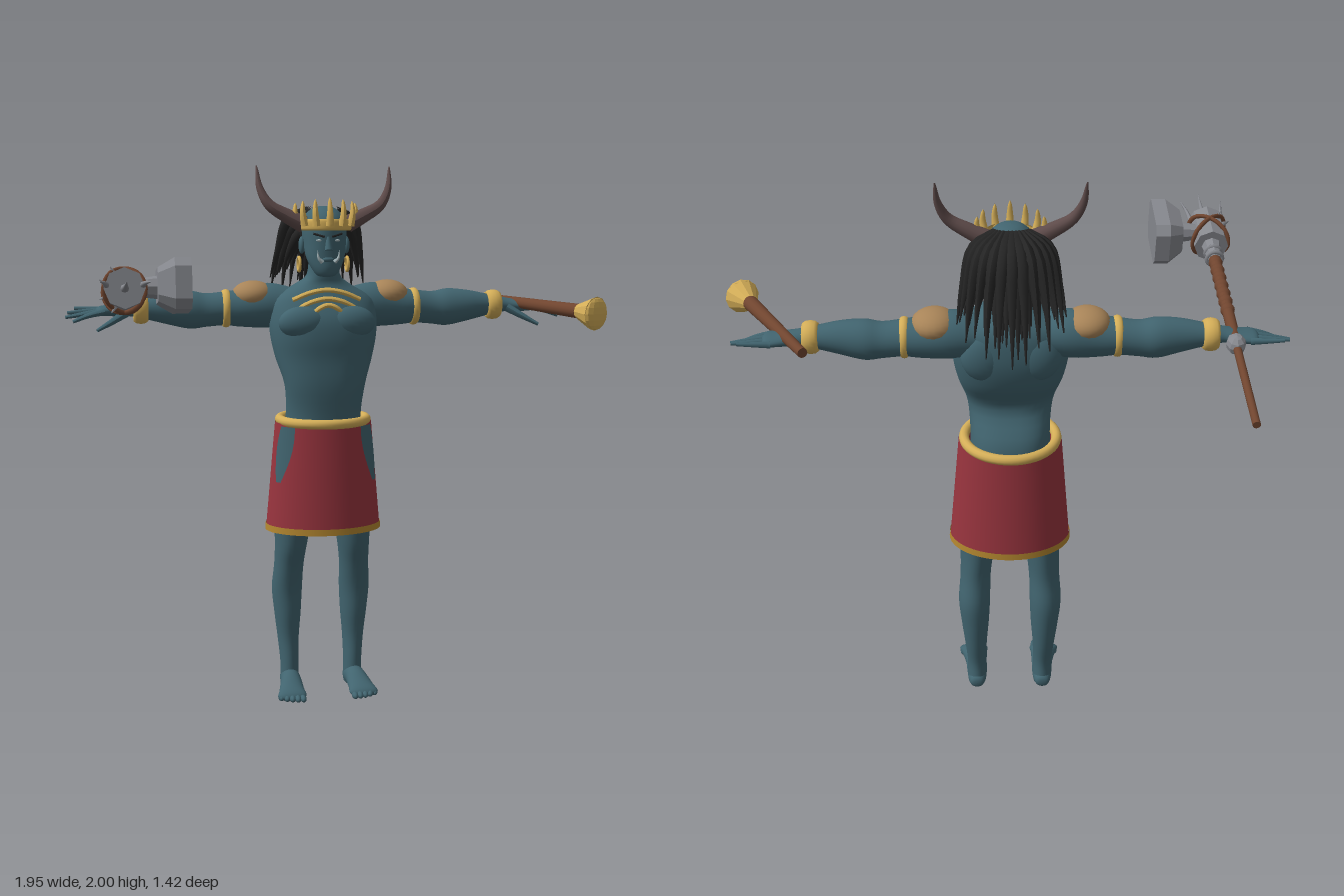
import * as THREE from 'three';
import { ParametricGeometry } from 'three/addons/geometries/ParametricGeometry.js';

const V = (x, y, z) => new THREE.Vector3(x, y, z);
const colours = {
  skin: 0x41646f, cloth: 0x98343e, gold: 0xd4ae58, darkGold: 0xb3862f, leather: 0xa88458,
  horn: 0x5e4b4a, hair: 0x242424, wood: 0x70452f, metal: 0x86888e, paint: 0x9fb0b4,
};

// Smooth loft of ellipses along an axis; rows are [t, centre1, centre2, radius1, radius2]
function loft(axis, rows, pow = 1, seg = 28, steps = 4) {
  const order = { x: [2, 0, 1], y: [0, 1, 2], z: [1, 2, 0] }[axis];
  const n = (rows.length - 1) * steps, pos = [], idx = [];
  const cr = (a, b, c, d, t) => 0.5 * (2 * b + (c - a) * t + (2 * a - 5 * b + 4 * c - d) * t * t + (3 * b - a - 3 * c + d) * t ** 3);
  const bend = (v) => Math.sign(v) * Math.abs(v) ** pow;
  for (let i = 0; i <= n; i++) {
    const k = Math.min(Math.floor(i / steps), rows.length - 2), f = i / steps - k;
    const at = (j) => rows[Math.max(0, Math.min(rows.length - 1, j))];
    const r = rows[0].map((_, c) => cr(at(k - 1)[c], at(k)[c], at(k + 1)[c], at(k + 2)[c], f));
    for (let j = 0; j < seg; j++) {
      const a = (j / seg) * Math.PI * 2, p = [0, 0, 0];
      p[order[0]] = r[1] + Math.max(r[3], 0) * bend(Math.cos(a));
      p[order[1]] = r[0];
      p[order[2]] = r[2] + Math.max(r[4], 0) * bend(Math.sin(a));
      pos.push(...p);
      if (i < n) {
        const q = i * seg + j, s = i * seg + ((j + 1) % seg);
        idx.push(q, q + seg, s, s, q + seg, s + seg);
      }
    }
  }
  const g = new THREE.BufferGeometry();
  g.setAttribute('position', new THREE.Float32BufferAttribute(pos, 3));
  g.setIndex(idx);
  g.computeVertexNormals();
  return g;
}

// Curved tube whose radius follows rule(u)
function taper(points, rule, steps = 10, seg = 8) {
  const curve = new THREE.CatmullRomCurve3(points);
  const g = new THREE.TubeGeometry(curve, steps, 1, seg);
  const p = g.attributes.position, v = V();
  for (let i = 0; i < p.count; i++) {
    const u = Math.floor(i / (seg + 1)) / steps, c = curve.getPointAt(u);
    v.fromBufferAttribute(p, i).sub(c).multiplyScalar(rule(u)).add(c);
    p.setXYZ(i, v.x, v.y, v.z);
  }
  g.computeVertexNormals();
  return g;
}

// Round rod from point a to point b
function rod(a, b, ra, rb, seg = 14) {
  const d = b.clone().sub(a), g = new THREE.CylinderGeometry(rb, ra, d.length(), seg);
  g.applyQuaternion(new THREE.Quaternion().setFromUnitVectors(V(0, 1, 0), d.normalize()));
  const m = a.clone().add(b).multiplyScalar(0.5);
  return g.translate(m.x, m.y, m.z);
}

const ball = (x, y, z, rx, ry, rz, w = 20, h = 14) => new THREE.SphereGeometry(1, w, h).scale(rx, ry, rz).translate(x, y, z);
const flat = (g) => { const f = g.index ? g.toNonIndexed() : g; f.computeVertexNormals(); return f; };

export function createModel() {
  const mats = {};
  for (const [name, color] of Object.entries(colours)) {
    mats[name] = new THREE.MeshStandardMaterial({ color });
    mats[name].name = name;
  }
  mats.cloth.side = mats.darkGold.side = mats.skin.side = mats.gold.side = THREE.DoubleSide;

  const model = new THREE.Group(), body = new THREE.Group();
  model.name = 'hornedWarrior';
  body.name = 'body';
  body.position.x = -0.04;
  model.add(body);
  const add = (name, geo, mat, parent = body) => {
    const m = new THREE.Mesh(geo, mats[mat]);
    m.name = name;
    parent.add(m);
  };
  const both = (name, geo, mat) => {
    const g = geo.clone().scale(-1, 1, 1), ix = g.index.array;
    for (let i = 0; i < ix.length; i += 3) [ix[i], ix[i + 1]] = [ix[i + 1], ix[i]];
    add(name + 'Left', geo, mat);
    add(name + 'Right', g, mat);
  };

  // Torso and neck
  add('torso', loft('y', [[0.95, 0, -0.175, 0.15, 0.125], [1.08, 0, -0.168, 0.14, 0.125], [1.2, 0, -0.13, 0.15, 0.1],
    [1.3, 0, -0.155, 0.18, 0.125], [1.38, 0, -0.165, 0.197, 0.14], [1.45, 0, -0.172, 0.2, 0.138], [1.52, 0, -0.185, 0.185, 0.115],
    [1.57, 0, -0.18, 0.105, 0.085], [1.61, 0, -0.158, 0.06, 0.065], [1.7, 0, -0.15, 0.055, 0.06]], 0.85, 36), 'skin');
  both('pectoral', ball(0.085, 1.435, -0.075, 0.095, 0.062, 0.05), 'skin');
  both('shoulderBlade', ball(0.09, 1.43, -0.265, 0.08, 0.09, 0.045), 'skin');

  // Head and face
  add('head', loft('y', [[1.6, 0, -0.095, 0, 0], [1.605, 0, -0.095, 0.032, 0.035], [1.63, 0, -0.1, 0.052, 0.052], [1.67, 0, -0.115, 0.07, 0.068],
    [1.72, 0, -0.13, 0.078, 0.085], [1.78, 0, -0.14, 0.082, 0.095], [1.82, 0, -0.147, 0.072, 0.085],
    [1.85, 0, -0.15, 0.038, 0.046], [1.857, 0, -0.15, 0, 0]]), 'skin');
  add('nose', rod(V(0, 1.745, -0.05), V(0, 1.698, -0.04), 0.007, 0.015), 'skin');
  add('lips', ball(0, 1.664, -0.05, 0.022, 0.009, 0.009), 'skin');
  both('ear', ball(0.083, 1.715, -0.14, 0.012, 0.032, 0.02), 'skin');
  both('eye', ball(0.031, 1.733, -0.054, 0.013, 0.005, 0.005), 'paint');
  both('eyebrow', rod(V(0.013, 1.746, -0.047), V(0.052, 1.757, -0.062), 0.005, 0.004, 8), 'hair');
  both('tusk', taper([V(0.022, 1.655, -0.048), V(0.036, 1.67, -0.045), V(0.04, 1.7, -0.046)], (u) => 0.008 * (1.05 - u)), 'paint');
  both('earring', new THREE.TorusGeometry(0.025, 0.006, 8, 20).rotateY(Math.PI / 2).translate(0.09, 1.645, -0.16), 'gold');

  // Crown with spikes, and horns
  add('crownBand', loft('y', [[1.768, 0, -0.13, 0.093, 0.107], [1.775, 0, -0.13, 0.1, 0.113], [1.8, 0, -0.13, 0.101, 0.114], [1.81, 0, -0.13, 0.096, 0.11]]), 'gold');
  for (let i = -3; i <= 3; i++) {
    const a = i * 0.47, x = 0.103 * Math.sin(a), z = -0.13 + 0.115 * Math.cos(a);
    add('crownSpike', taper([V(x, 1.785, z), V(x * 1.1, 1.83, z + 0.004), V(x * 1.08, 1.885 - 0.006 * Math.abs(i), z - 0.003)],
      (u) => 0.001 + 0.014 * Math.sqrt(1 - u)), 'gold');
  }
  both('horn', taper([V(0.08, 1.79, -0.115), V(0.14, 1.82, -0.115), V(0.205, 1.86, -0.115), V(0.237, 1.92, -0.13), V(0.246, 2, -0.155)],
    (u) => 0.002 + 0.03 * (1 - u) ** 0.8, 18, 12), 'horn');

  // Dreadlocks in three fanned layers
  add('hairCap', ball(0, 1.77, -0.19, 0.085, 0.08, 0.075), 'hair');
  for (let layer = 0; layer < 3; layer++) {
    for (let i = -6; i <= 6; i++) {
      const a = (i + (layer % 2) * 0.5) * 0.245, s = Math.sin(a), c = Math.cos(a), k = 1 - layer * 0.14;
      const tipY = 1.48 + 0.1 * Math.abs(s) + layer * 0.035 + 0.025 * Math.sin(i * 2.7 + layer);
      add('dreadlock', taper([V(0.05 * s, 1.835 - layer * 0.025, -0.18 - 0.02 * c), V(0.12 * s * k, 1.805 - 0.03 * layer, -0.21 - 0.12 * c * k),
        V(0.16 * s * k, 1.68, -0.25 - 0.145 * c * k), V(0.18 * s * k, tipY, -0.285 - 0.17 * c * k)],
      (u) => 0.002 + 0.019 * Math.min(1, 1.5 * (1 - u)), 12, 7), 'hair');
    }
  }

  // Chest bands
  [[1.553, 0.125, -0.08], [1.522, 0.108, -0.065], [1.5, 0.06, -0.048]].forEach(([y, w, z]) =>
    add('chestBand', taper([V(-w, y - 0.036, z - 0.01), V(-w / 2, y - 0.01, z), V(0, y, z), V(w / 2, y - 0.01, z), V(w, y - 0.036, z - 0.01)], () => 0.009, 20), 'gold'));

  // Arms, hands and arm ornaments
  both('arm', loft('x', [[0.1, -0.21, 1.49, 0.075, 0.065], [0.2, -0.217, 1.492, 0.083, 0.083], [0.3, -0.22, 1.483, 0.074, 0.07],
    [0.36, -0.222, 1.482, 0.066, 0.063], [0.43, -0.225, 1.476, 0.062, 0.062], [0.49, -0.225, 1.478, 0.066, 0.07],
    [0.57, -0.22, 1.483, 0.056, 0.058], [0.65, -0.22, 1.485, 0.042, 0.04], [0.71, -0.22, 1.485, 0.034, 0.028],
    [0.77, -0.22, 1.48, 0.045, 0.022], [0.82, -0.22, 1.478, 0.047, 0.017], [0.835, -0.22, 1.478, 0, 0]]), 'skin');
  [[-0.262, 0.91], [-0.235, 0.935], [-0.205, 0.942], [-0.178, 0.915]].forEach(([z, x], i) =>
    both('finger', taper([V(0.8, 1.478, z), V(0.86, 1.482 - 0.006 * i, z * 1.12 + 0.025), V(x, 1.485 - 0.014 * i, z * 1.2 + 0.042)],
      (u) => 0.006 + 0.007 * (1 - u)), 'skin'));
  both('thumb', taper([V(0.72, 1.475, -0.19), V(0.77, 1.445, -0.165), V(0.83, 1.412, -0.142)], (u) => 0.006 + 0.011 * (1 - u)), 'skin');
  both('shoulderPad', ball(0.255, 1.53, -0.218, 0.08, 0.054, 0.083), 'leather');
  const ring = (x, y, r, t, w) => new THREE.TorusGeometry(r, t, 10, 28).rotateY(Math.PI / 2).scale(w, 1, 1).translate(x, y, -0.221);
  both('armlet', ring(0.357, 1.482, 0.06, 0.011, 1.4), 'gold');
  both('bracelet', ring(0.67, 1.485, 0.043, 0.014, 2), 'gold');

  // Legs and feet
  both('leg', loft('y', [[0, 0.125, -0.235, 0, 0], [0.01, 0.125, -0.235, 0.033, 0.046], [0.1, 0.125, -0.23, 0.035, 0.045], [0.2, 0.128, -0.24, 0.041, 0.05],
    [0.3, 0.13, -0.24, 0.051, 0.061], [0.4, 0.132, -0.237, 0.058, 0.068], [0.5, 0.127, -0.215, 0.056, 0.075],
    [0.6, 0.12, -0.195, 0.062, 0.095], [0.75, 0.11, -0.18, 0.078, 0.11], [0.95, 0.08, -0.17, 0.085, 0.11]]), 'skin');
  both('foot', loft('z', [[-0.288, 0.03, 0.125, 0, 0], [-0.28, 0.03, 0.125, 0.024, 0.026], [-0.23, 0.037, 0.125, 0.036, 0.037], [-0.17, 0.041, 0.128, 0.041, 0.04],
    [-0.1, 0.028, 0.135, 0.027, 0.048], [-0.055, 0.018, 0.139, 0.017, 0.052], [-0.04, 0.015, 0.139, 0, 0]]), 'skin');
  for (let i = 0; i < 5; i++) both('toe', ball(0.1 + i * 0.02, 0.014, -0.04 - i * i * 0.0018, 0.012, 0.013, 0.025, 10, 8), 'skin');

  // Skirt, hem, bare hip openings and belt
  const onSkirt = (y, a, grow, out) => {
    const t = (y - 0.65) / 0.41;
    out.set((0.218 - 0.036 * t + grow) * Math.cos(a), y, -0.177 + 0.009 * t + (0.163 - 0.028 * t + grow) * Math.sin(a));
  };
  const wrap = (y0, y1, grow) => new ParametricGeometry((u, v, out) => onSkirt(y0 + (y1 - y0) * v, -u * Math.PI * 2, grow, out), 48, 6);
  add('skirt', wrap(0.65, 1.06, 0), 'cloth');
  add('skirtHem', wrap(0.648, 0.672, 0.003), 'darkGold');
  both('hipOpening', new ParametricGeometry((u, v, out) => {
    const half = 0.02 + 0.22 * Math.sin(Math.PI * Math.min(1, 0.08 + v * 0.62));
    onSkirt(0.84 + 0.21 * v, 0.48 + 0.17 * v + half * (1 - 2 * u), 0.004, out);
  }, 8, 12), 'skin');
  add('belt', new THREE.TorusGeometry(0.163, 0.018, 12, 48).rotateX(Math.PI / 2).translate(0, 1.066, -0.175), 'gold');

  // Hammer held in the right hand, built along local z
  const hammer = new THREE.Group();
  hammer.name = 'hammer';
  hammer.position.set(-0.787, 1.584, 0.41);
  hammer.rotation.x = -0.15;
  model.add(hammer);
  const part = (name, geo, mat) => add(name, geo, mat, hammer);
  const along = (z0, z1, r0, r1, seg) => rod(V(0, 0, z0), V(0, 0, z1), r0, r1, seg);
  part('shaftTail', along(-1.13, -0.69, 0.013, 0.014), 'wood');
  part('shaftGrip', along(-0.69, -0.15, 0.019, 0.022), 'wood');
  part('pommelKnot', flat(ball(0, 0, -0.7, 0.034, 0.034, 0.042, 8, 6)), 'metal');
  for (let i = 0; i < 7; i++) part('gripWrap', ball(0, 0, -0.5 + i * 0.05, 0.025, 0.025, 0.03, 10, 8), 'wood');
  part('collar', flat(along(-0.18, -0.08, 0.024, 0.036, 8)), 'metal');
  [-0.17, -0.13].forEach((z) => part('collarRing', new THREE.TorusGeometry(0.028, 0.008, 6, 16).translate(0, 0, z), 'metal'));
  part('hammerCore', flat(along(-0.085, 0.09, 0.062, 0.066, 8)), 'metal');
  [-1, 1].forEach((s) => {
    part('strap', new THREE.TorusGeometry(0.068, 0.008, 6, 28).scale(1.3, 1.02, 1).rotateY(s * 0.75), 'wood');
    part('prong', taper([V(s * 0.055, 0.01, 0.06), V(s * 0.064, 0.01, 0.15), V(s * 0.078, 0.005, 0.235)], (u) => 0.001 + 0.011 * (1 - u)), 'metal');
  });
  part('centreSpike', taper([V(0, 0, 0.07), V(0, -0.005, 0.18), V(0, -0.002, 0.3)], (u) => 0.001 + 0.014 * (1 - u)), 'metal');
  [2.1, 2.75, 3.5, 4.2].forEach((a) => part('sideSpike', rod(V(0.055 * Math.cos(a), 0.055 * Math.sin(a), 0.03),
    V(0.085 * Math.cos(a), 0.085 * Math.sin(a), 0.04), 0.012, 0.001, 6), 'metal'));
  part('hammerNeck', flat(rod(V(0.05, 0.01, 0), V(0.12, 0.01, 0), 0.03, 0.04, 8)), 'metal');
  const w = 0.123, h = 0.082, c = 0.03;
  const plate = new THREE.Shape([[-w, -h + c], [-w + c, -h], [w - c, -h], [w, -h + c], [w, h - c], [w - c, h], [-w + c, h], [-w, h - c]]
    .map(([x, y]) => new THREE.Vector2(x, y)));
  const face = new THREE.ExtrudeGeometry(plate, { depth: 0.105, steps: 2, bevelEnabled: false });
  const fp = face.attributes.position;
  for (let i = 0; i < fp.count; i++) {
    if (fp.getZ(i) < 0.01) fp.setXY(i, fp.getX(i) * 0.66, fp.getY(i) * 0.66);
  }
  part('hammerFace', flat(face.rotateY(Math.PI / 2).translate(0.105, 0.014, 0)), 'metal');

  // Club held in the left hand
  const a = V(0.64, 1.502, -0.37), b = V(0.872, 1.475, 0.07), e = V(0.912, 1.47, 0.14);
  add('clubShaft', rod(a, b, 0.017, 0.027), 'wood', model);
  add('clubBell', flat(rod(b, e, 0.027, 0.062, 12)), 'gold', model);
  add('clubCap', flat(ball(e.x, e.y, e.z, 0.06, 0.06, 0.018, 12, 8).translate(-e.x, -e.y, -e.z).rotateY(0.5).translate(e.x, e.y, e.z)), 'gold', model);
  return model;
}
